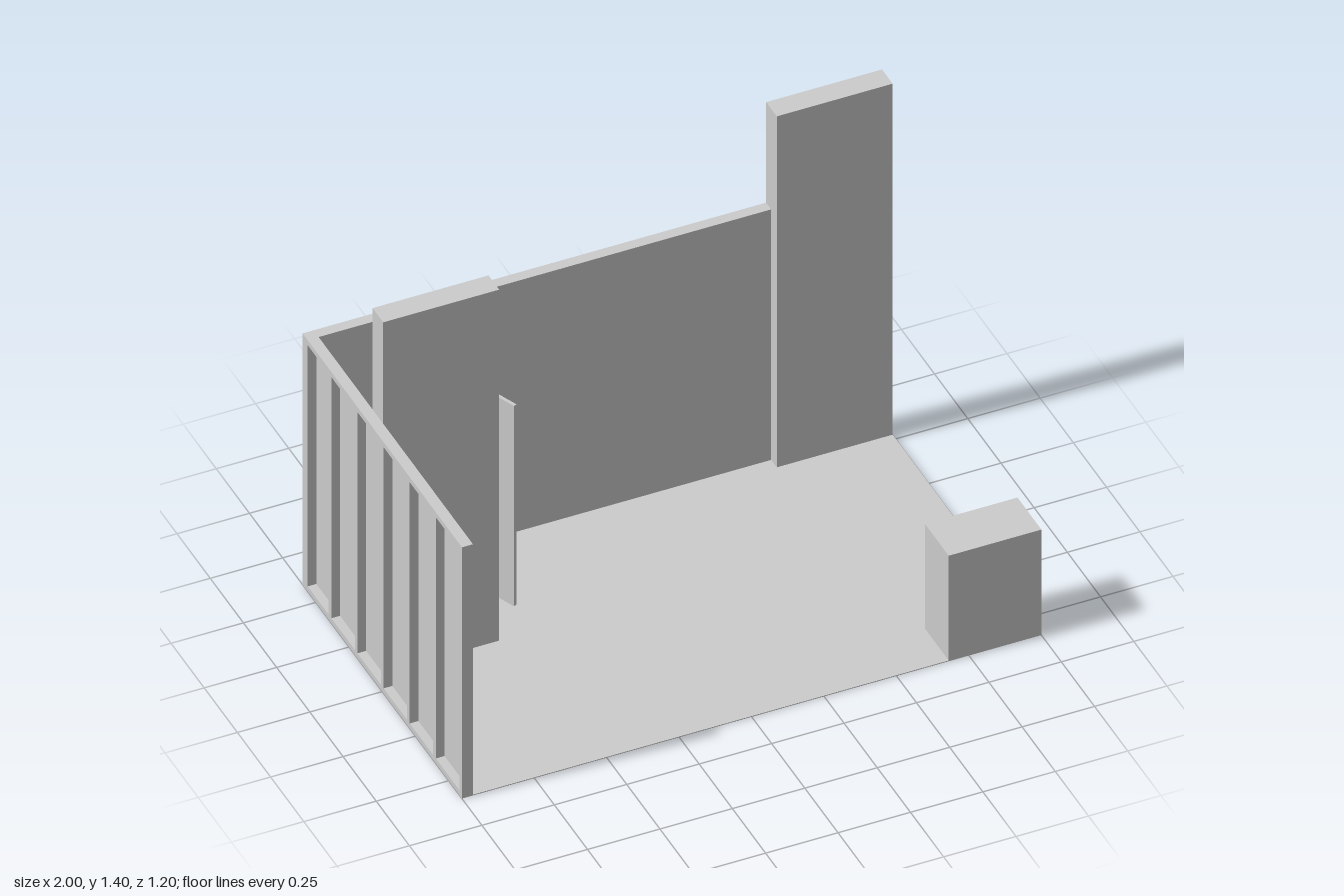
import * as THREE from 'three';

const material = new THREE.MeshStandardMaterial({ color: 0xcccccc, flatShading: true });

// Box given by its minimum and maximum corners
function block(name, [x0, y0, z0], [x1, y1, z1]) {
  const mesh = new THREE.Mesh(new THREE.BoxGeometry(x1 - x0, y1 - y0, z1 - z0), material);
  mesh.name = name;
  mesh.position.set((x0 + x1) / 2, (y0 + y1) / 2, (z0 + z1) / 2);
  return mesh;
}

// Wall along local +x: smooth panel on the +z face, open stud frame behind it
function framedWall(name, length, bays) {
  const wall = new THREE.Group();
  wall.name = name;
  const depth = 0.038, panel = 0.008, bar = 0.02, height = 1;
  wall.add(block('panel', [0, 0, depth - panel], [length, height, depth]));
  wall.add(block('bottomRail', [0, 0, 0], [length, bar, depth - panel]));
  wall.add(block('topRail', [0, height - bar, 0], [length, height, depth - panel]));
  for (let i = 0; i <= bays; i++) {
    const x = (i / bays) * (length - bar);
    wall.add(block('stud', [x, bar, 0], [x + bar, height - bar, depth - panel]));
  }
  return wall;
}

export function createModel() {
  const booth = new THREE.Group();
  booth.name = 'exhibitionBooth';

  booth.add(block('floor', [-1, 0, -0.6], [1, 0.003, 0.6]));

  // Outer walls, framed side facing outwards
  const backWall = framedWall('backWall', 1.6, 8);
  backWall.position.set(-1, 0, -0.6);
  booth.add(backWall);
  const sideWall = framedWall('sideWall', 1.2, 6);
  sideWall.rotation.y = Math.PI / 2;
  sideWall.position.set(-1, 0, 0.6);
  booth.add(sideWall);

  // Tall display towers and the reception counter
  booth.add(block('storeTower', [-0.96, 0, -0.16], [-0.56, 1.4, -0.08]));
  booth.add(block('cornerTower', [0.6, 0, -0.6], [1, 1.4, -0.52]));
  booth.add(block('counter', [0.68, 0, 0.42], [1, 0.42, 0.6]));

  // Store room wall with a doorway, extruded across its thickness
  const outline = new THREE.Shape([
    [0.16, 0], [0.2, 0], [0.2, 0.8], [0.52, 0.8], [0.52, 0], [0.562, 0], [0.562, 1], [0.16, 1],
  ].map(([x, y]) => new THREE.Vector2(x, y)));
  const partition = new THREE.Mesh(
    new THREE.ExtrudeGeometry(outline, { depth: 0.04, bevelEnabled: false }), material);
  partition.name = 'storeWall';
  partition.rotation.y = Math.PI / 2;
  partition.position.x = -0.6;
  booth.add(partition);

  // Door standing ajar on its rear hinge
  const door = new THREE.Group();
  door.name = 'door';
  door.add(block('doorLeaf', [-0.012, 0.003, 0], [0, 0.8, 0.315]));
  door.position.set(-0.556, 0, -0.515);
  door.rotation.y = Math.atan2(0.12, 0.285);
  booth.add(door);

  return booth;
}
